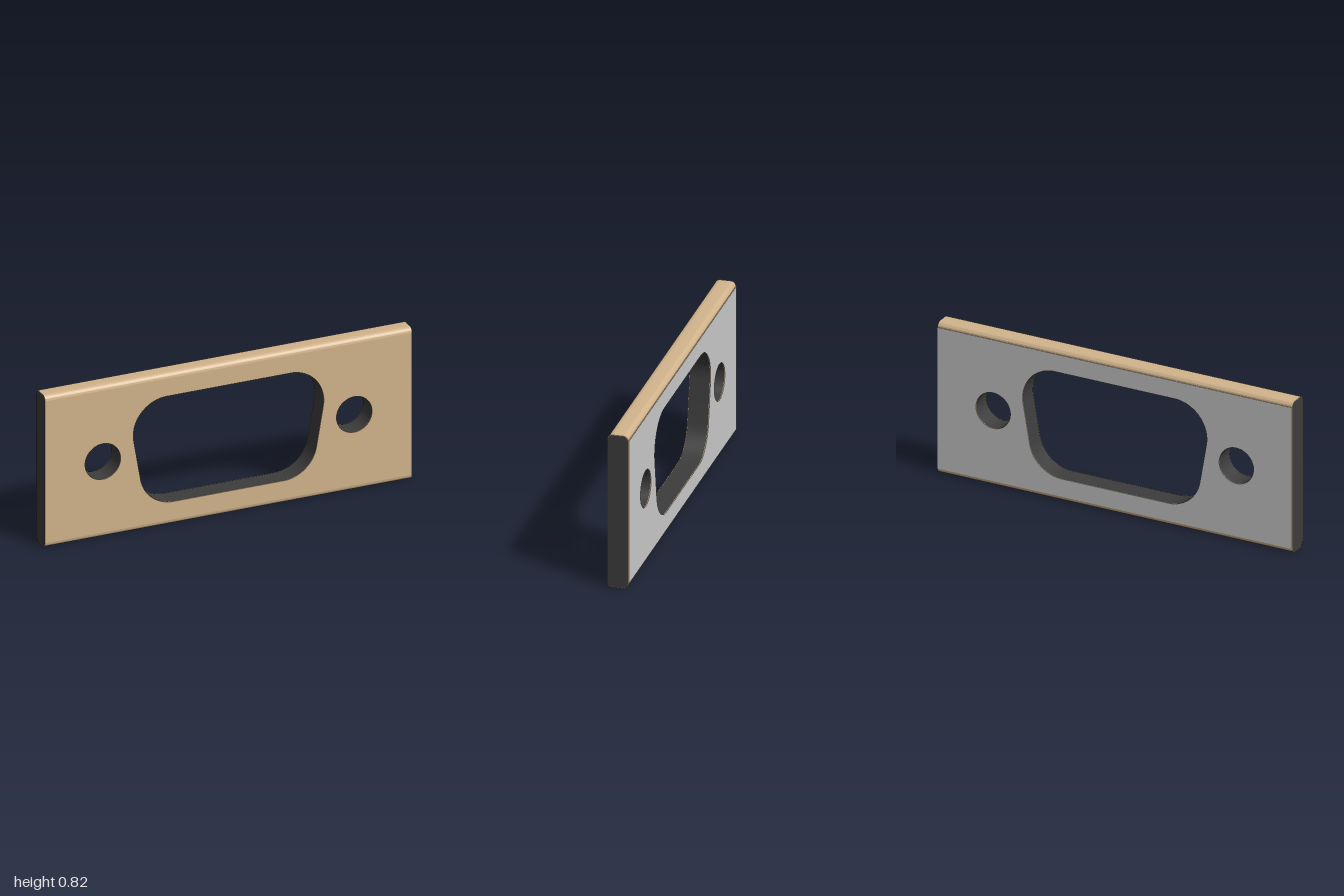
import * as THREE from 'three';
import { toCreasedNormals } from 'three/addons/utils/BufferGeometryUtils.js';

const H = 0.823;            // overall height
const R = 0.026;            // rounding of the long edges
const FRONT = 0.055, BACK = -0.0515, SKIN = 0.003;

const tan = new THREE.MeshStandardMaterial({ color: 0xd2b48c });
const dark = new THREE.MeshStandardMaterial({ color: 0x3d3d3d });
const grey = new THREE.MeshStandardMaterial({ color: 0xcccccc });

function extrude(shape, depth) {
  const g = new THREE.ExtrudeGeometry(shape, { depth, bevelEnabled: false, curveSegments: 20 });
  return toCreasedNormals(g, 0.6);
}

// Flat face between the rounded edges, pierced by the connector opening and two screw holes
function plateShape() {
  const s = new THREE.Shape();
  s.moveTo(-1, R).lineTo(1, R).lineTo(1, H - R).lineTo(-1, H - R).closePath();

  const r = 0.182, a = THREE.MathUtils.degToRad(10), q = Math.PI / 2;
  const opening = new THREE.Path();
  opening.absarc(0.337, 0.519, r, -a, q);
  opening.absarc(-0.337, 0.519, r, q, 2 * q + a);
  opening.absarc(-0.3, 0.305, r, 2 * q + a, 3 * q);
  opening.absarc(0.3, 0.305, r, 3 * q, 4 * q - a);
  opening.closePath();
  s.holes.push(opening);

  for (const x of [-0.685, 0.685]) {
    s.holes.push(new THREE.Path().absarc(x, H / 2, 0.097, 0, 2 * Math.PI));
  }
  return s;
}

// Rounded cap profile (shape x is -z), inset by t
function traceCap(path, t) {
  const r = R - t;
  path.moveTo(-BACK - t, 0);
  path.absarc(-BACK - R, 0, r, 0, Math.PI / 2);
  path.absarc(-FRONT + R, 0, r, Math.PI / 2, Math.PI);
  return path;
}

export function createModel() {
  const model = new THREE.Group();
  const add = (parent, name, geometry, material) => {
    const m = new THREE.Mesh(geometry, material);
    m.name = name;
    parent.add(m);
    return m;
  };

  // Flat layers, back to front
  const shape = plateShape();
  const layer = (name, z0, z1, material) => {
    add(model, name, extrude(shape, z1 - z0), material).position.z = z0;
  };
  layer('backLayer', -FRONT, BACK, [grey, tan]);
  layer('core', BACK, FRONT - SKIN, dark);
  layer('frontSkin', FRONT - SKIN, FRONT, tan);

  // Rounded long edges: a dark core wrapped in a thin skin
  const alongX = (s) => extrude(s, 2).rotateY(Math.PI / 2).translate(-1, 0, 0);
  const coreGeo = alongX(traceCap(new THREE.Shape(), SKIN));
  const band = traceCap(new THREE.Shape(), 0);
  const inner = traceCap(new THREE.Path(), SKIN).getPoints(20).reverse();
  inner.forEach((p) => band.lineTo(p.x, p.y));
  band.closePath();
  const skinGeo = alongX(band);

  for (const [name, y, flip] of [['topEdge', H - R, 1], ['bottomEdge', R, -1]]) {
    const edge = new THREE.Group();
    edge.name = name;
    add(edge, name + 'Core', coreGeo, dark);
    add(edge, name + 'Skin', skinGeo, tan);
    edge.position.y = y;
    edge.scale.y = flip;
    model.add(edge);
  }
  return model;
}
